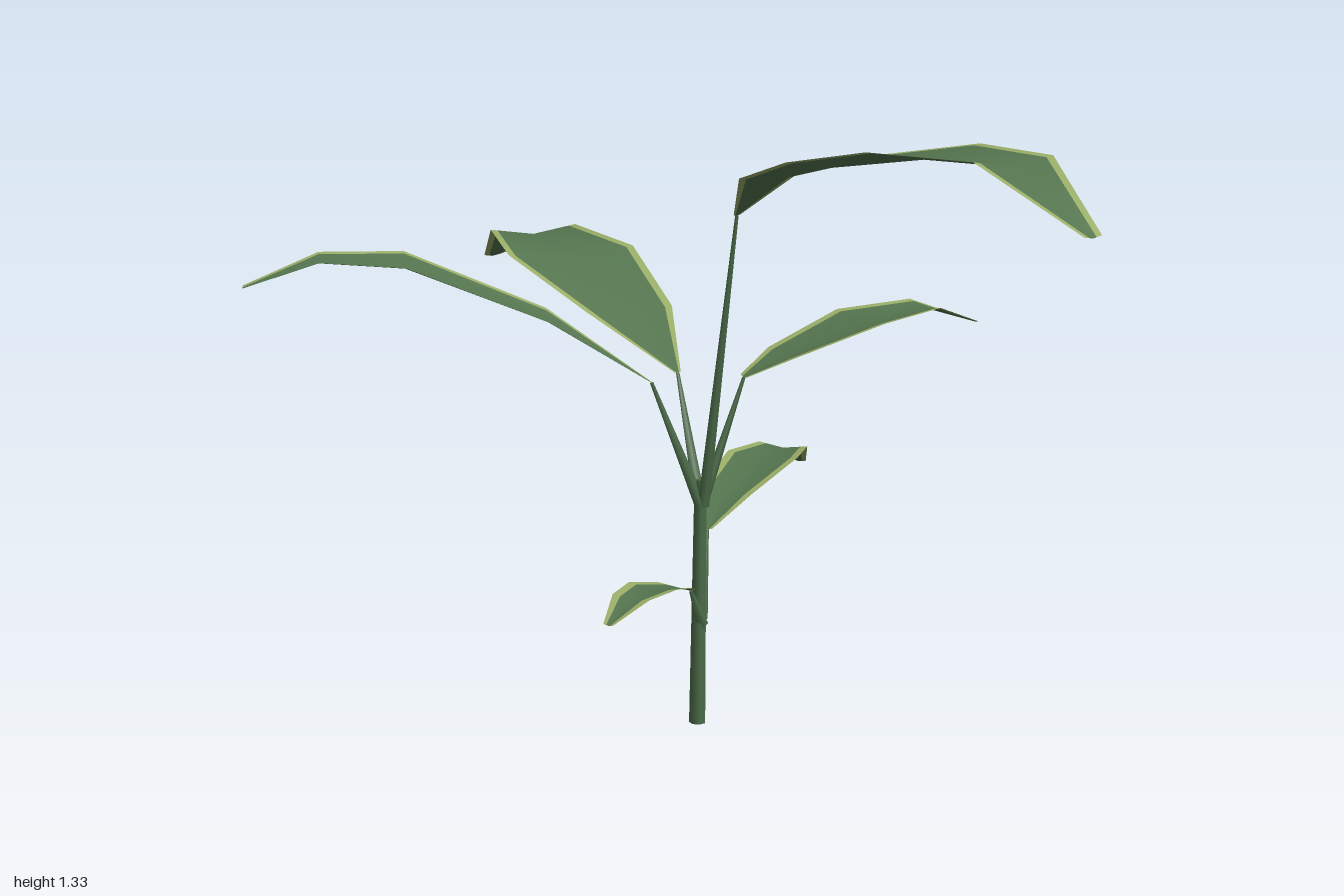
import * as THREE from 'three';

const V = (x, y, z) => new THREE.Vector3(x, y, z);
const mat = (name, color, side = THREE.FrontSide) => {
  const m = new THREE.MeshStandardMaterial({ color, side });
  m.name = name;
  return m;
};

// Each leaf: where its stalk leaves the stem, then spine stations [x, y, z, halfWidth]
const LEAVES = [
  { name: 'backLeaf', root: [0.147, 0.52, 0.015], spine: [[0.12, 0.78, -0.08, 0.008], [0.06, 0.87, -0.31, 0.11],
    [-0.03, 0.965, -0.565, 0.168], [-0.09, 1.005, -0.765, 0.115], [-0.16, 0.92, -1, 0.022]] },
  { name: 'frontLeaf', root: [0.155, 0.5, 0.022], spine: [[0.2, 1.15, 0.12, 0.008], [0.24, 1.23, 0.22, 0.075],
    [0.32, 1.275, 0.4, 0.12], [0.435, 1.31, 0.62, 0.15], [0.53, 1.315, 0.835, 0.105], [0.62, 1.205, 0.995, 0.025]] },
  { name: 'rightLeaf', root: [0.147, 0.51, 0.02], spine: [[0.04, 0.78, 0.02, 0.008], [-0.18, 0.915, -0.01, 0.1],
    [-0.48, 1.035, -0.04, 0.13], [-0.66, 1.05, -0.05, 0.085], [-0.82, 1, -0.06, 0.022]] },
  { name: 'leftLeaf', root: [0.155, 0.51, 0.018], spine: [[0.25, 0.78, 0, 0.02], [0.34, 0.82, -0.01, 0.07],
    [0.53, 0.88, -0.055, 0.108], [0.69, 0.905, -0.085, 0.07], [0.82, 0.865, -0.11, 0.018]] },
  { name: 'lowBackLeaf', root: [0.155, 0.24, 0.016], spine: [[0.18, 0.43, -0.04, 0.012], [0.245, 0.485, -0.125, 0.064],
    [0.375, 0.52, -0.3, 0.088], [0.45, 0.525, -0.39, 0.062], [0.52, 0.465, -0.49, 0.016]] },
  { name: 'lowFrontLeaf', root: [0.155, 0.23, 0.022], spine: [[0.12, 0.32, 0.06, 0.01], [0.075, 0.345, 0.115, 0.045],
    [0.005, 0.368, 0.195, 0.058], [-0.055, 0.368, 0.26, 0.045], [-0.115, 0.335, 0.32, 0.012]] },
];

// Shallow V-folded blade: five columns, the outer two strips form the pale rim
function bladeGeometry(spine) {
  const pos = [], green = [], rim = [];
  spine.forEach(([x, y, z, w], i) => {
    const a = spine[Math.max(i - 1, 0)], b = spine[Math.min(i + 1, spine.length - 1)];
    const across = V(-(b[2] - a[2]), 0, b[0] - a[0]).normalize();
    const inner = w - Math.min(0.018, w * 0.6);
    for (const d of [-w, -inner, 0, inner, w])
      pos.push(x + across.x * d, y + Math.abs(d) * 0.15, z + across.z * d);
    if (i === 0) return;
    for (let c = 0; c < 4; c++) {
      const p = (i - 1) * 5 + c, q = p + 5;
      (c === 0 || c === 3 ? rim : green).push(p, p + 1, q, p + 1, q + 1, q);
    }
  });
  const g = new THREE.BufferGeometry();
  g.setAttribute('position', new THREE.Float32BufferAttribute(pos, 3));
  g.setIndex([...green, ...rim]);
  g.addGroup(0, green.length, 0);
  g.addGroup(green.length, rim.length, 1);
  g.computeVertexNormals();
  return g;
}

// Tapered rod between two points
function rod(name, from, to, r0, r1, sides, material, open) {
  const dir = to.clone().sub(from);
  const mesh = new THREE.Mesh(new THREE.CylinderGeometry(r1, r0, dir.length(), sides, 1, open), material);
  mesh.position.copy(from).addScaledVector(dir, 0.5);
  mesh.quaternion.setFromUnitVectors(V(0, 1, 0), dir.normalize());
  mesh.name = name;
  return mesh;
}

export function createModel() {
  const plant = new THREE.Group();
  plant.name = 'plant';
  const leafGreen = mat('leaf green', 0x55754f, THREE.DoubleSide);
  const rimYellow = mat('rim yellow green', 0x9bae68, THREE.DoubleSide);
  const stemGreen = mat('stem green', 0x4c6c49);

  // Main stem
  plant.add(rod('stem', V(0.147, 0, 0.019), V(0.151, 0.56, 0.019), 0.019, 0.014, 7, stemGreen, false));

  // Leaves with their stalks
  for (const { name, root, spine } of LEAVES) {
    const leaf = new THREE.Group();
    leaf.name = name;
    const base = V(...spine[0].slice(0, 3));
    leaf.add(rod('stalk', V(...root), base, 0.014, 0.004, 5, stemGreen, false));
    const blade = new THREE.Mesh(bladeGeometry(spine), [leafGreen, rimYellow]);
    blade.name = 'blade';
    leaf.add(blade);
    plant.add(leaf);
  }
  return plant;
}
